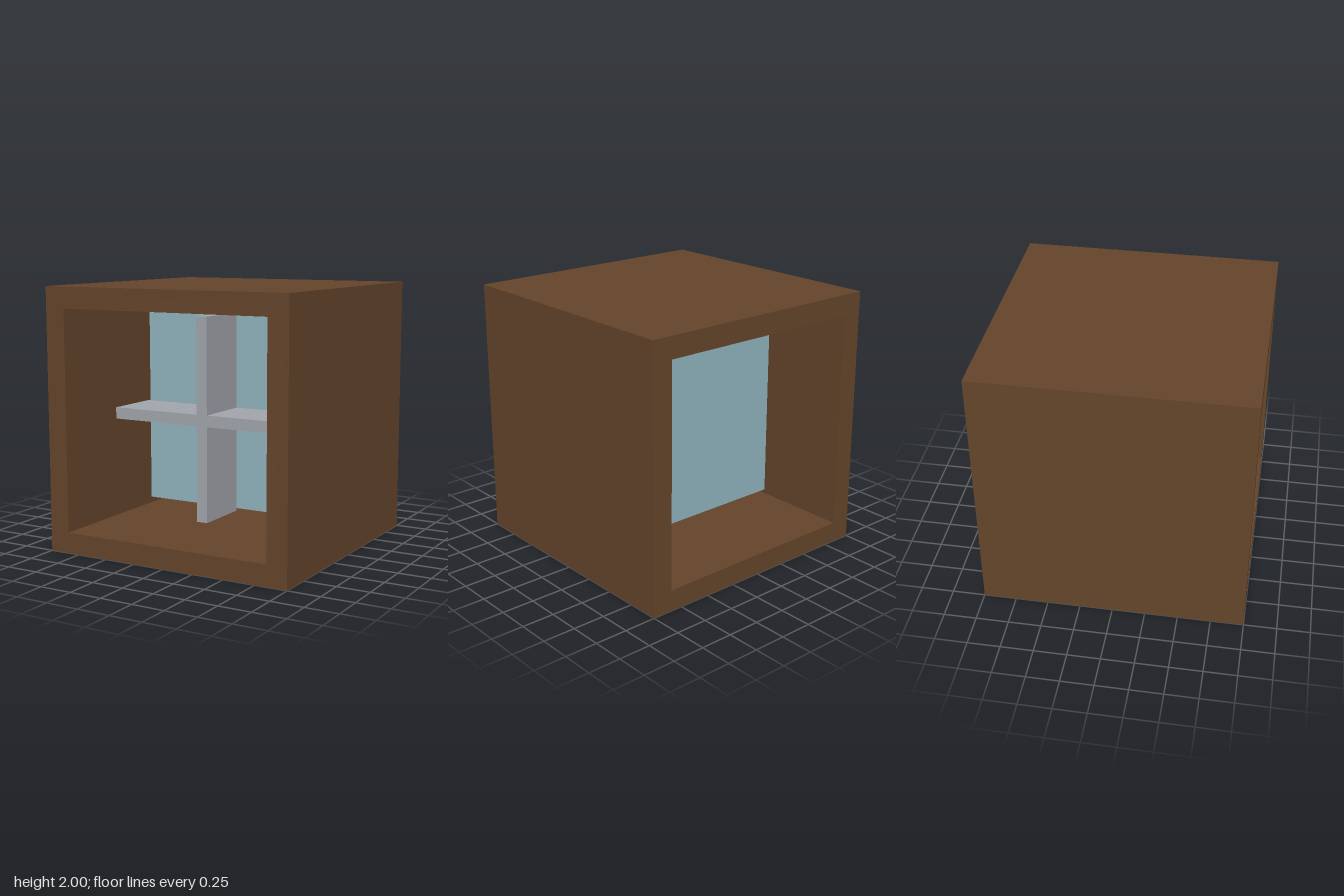
import * as THREE from 'three';

export function createModel() {
  const model = new THREE.Group();
  const wood = new THREE.MeshStandardMaterial({ color: 0x65452b });
  wood.name = 'brown wood';
  const glass = new THREE.MeshStandardMaterial({ color: 0x90b4be });
  glass.name = 'blue glass';
  const metal = new THREE.MeshStandardMaterial({ color: 0xa2a6ad });
  metal.name = 'grey bars';

  function add(name, geometry, material, x, y, z) {
    const mesh = new THREE.Mesh(geometry, material);
    mesh.name = name;
    mesh.position.set(x, y, z);
    model.add(mesh);
  }

  // Open frame: full-height side planks with top and bottom planks between
  const T = 0.16;
  for (const s of [1, -1]) {
    add(s > 0 ? 'leftPlank' : 'rightPlank', new THREE.BoxGeometry(T, 2, 2), wood, s * (1 - T / 2), 1, 0);
    add(s > 0 ? 'topPlank' : 'bottomPlank', new THREE.BoxGeometry(2 - 2 * T, T, 2), wood, 0, 1 + s * (1 - T / 2), 0);
  }

  // Thick pane floating in the middle of the frame
  add('pane', new THREE.BoxGeometry(1.514, 1.514, 0.315), glass, 0, 1, -0.1575);

  // Crossed glazing bars, one solid piece in front of the pane
  const L = 0.778, W = 0.044;
  const cross = new THREE.Shape();
  for (let i = 0; i < 4; i++) {
    const a = i * Math.PI / 2, c = Math.cos(a), s = Math.sin(a);
    for (const [x, y] of [[W, -W], [L, -W], [L, W]]) {
      const px = x * c - y * s, py = x * s + y * c;
      if (i === 0 && x === W) cross.moveTo(px, py);
      else cross.lineTo(px, py);
    }
  }
  cross.closePath();
  add('crossBars', new THREE.ExtrudeGeometry(cross, { depth: 0.45, bevelEnabled: false }), metal, 0, 1, 0);

  return model;
}
